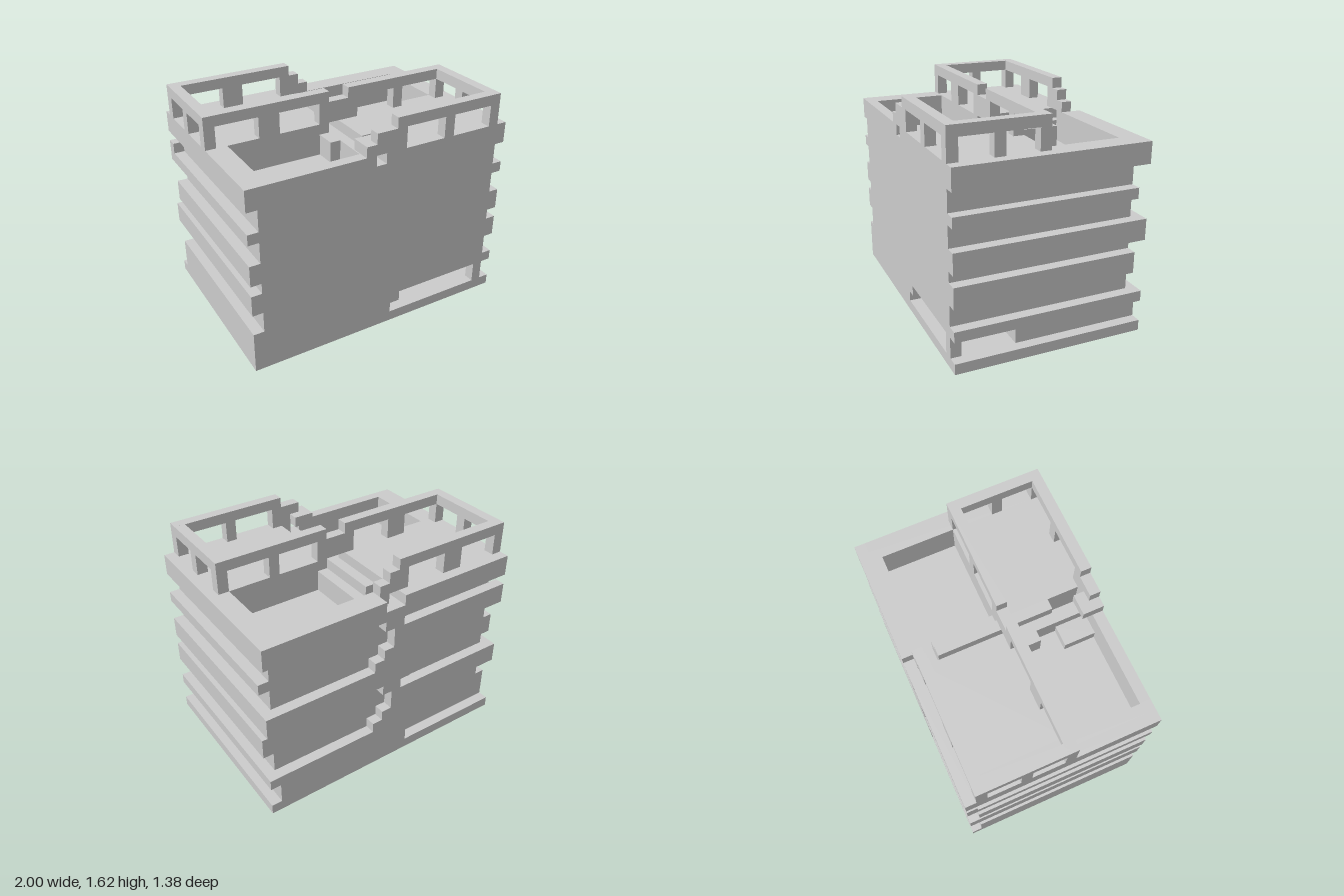
import * as THREE from 'three';

// Grid unit: the block is 26 wide, 21 high and 18 deep
const U = 2 / 26;
const material = new THREE.MeshStandardMaterial({ color: 0xcccccc, flatShading: true });

// Box given by its grid limits [x0, x1, y0, y1, z0, z1]
function box(parent, name, [x0, x1, y0, y1, z0, z1]) {
  const geo = new THREE.BoxGeometry((x1 - x0) * U, (y1 - y0) * U, (z1 - z0) * U);
  const mesh = new THREE.Mesh(geo, material);
  mesh.position.set(((x0 + x1) / 2 - 13) * U, ((y0 + y1) / 2) * U, ((z0 + z1) / 2 - 9) * U);
  mesh.name = name;
  parent.add(mesh);
}

function part(parent, name, boxes) {
  const group = new THREE.Group();
  group.name = name;
  boxes.forEach((b) => box(group, name + 'Block', b));
  parent.add(group);
}

// Window wall along x: top rail on posts
function wallX(parent, name, x0, x1, z, posts) {
  part(parent, name, [
    [x0, x1, 20, 21, z, z + 1],
    ...posts.map(([a, b]) => [a, b, 18, 20, z, z + 1]),
  ]);
}

// Window wall along z: top rail on a middle post
function wallZ(parent, name, x, z0, z1, post) {
  part(parent, name, [
    [x, x + 1, 20, 21, z0, z1],
    [x, x + 1, 18, 20, post, post + 1],
  ]);
}

export function createModel() {
  const model = new THREE.Group();
  model.name = 'bandedBuilding';

  // Solid core, with a low room open at the front and side
  part(model, 'core', [
    [0, 26, 0, 1, 0, 18],
    [1, 25, 1, 3, 1, 12],
    [1, 14, 1, 3, 12, 18],
    [14, 15, 2, 3, 12, 18],
    [24, 25, 1, 3, 17, 18],
    [1, 25, 3, 15, 1, 18],
  ]);

  // Projecting bands on the two sides
  const bands = [[3, 4], [6, 8], [9, 11], [13, 14], [16, 18]];
  part(model, 'leftBands', bands.map(([a, b]) => [25, 26, a, b, 1, 18]));
  part(model, 'rightBands', bands.map(([a, b]) => [0, 1, a === 3 ? 1 : a, b, 1, 18]));

  // Back face: bands on each half, meeting in a stepped central pier
  part(model, 'backLeftBands', [
    [14, 25, 1, 3, 0, 1],
    [14, 26, 3, 4, 0, 1],
    [14, 26, 9, 11, 0, 1],
    [14, 26, 16, 18, 0, 1],
  ]);
  part(model, 'backRightBands', [
    [0, 11, 6, 8, 0, 1],
    [0, 11, 13, 15, 0, 1],
    [0, 12, 16, 18, 0, 1],
  ]);
  const pier = [[11, 14, 1, 4, 0, 1]];
  for (const y of [4, 11]) {
    pier.push(
      [11, 15, y, y + 1, 0, 1],
      [11, 14, y + 1, y + 2, 0, 1],
      [11, 13, y + 2, y + 4, 0, 1],
      [12, 14, y + 4, y + 5, 0, 1],
    );
  }
  pier.push([11, 14, 9, 11, 0, 1], [12, 14, 16, 17, 0, 1]);
  part(model, 'backPier', pier);

  // Roof rim around the two sunken courts; a narrow channel runs through it
  part(model, 'roofRim', [
    [1, 2, 15, 18, 1, 18],
    [24, 25, 15, 18, 1, 18],
    [2, 12, 15, 18, 17, 18],
    [13, 24, 15, 18, 17, 18],
    [2, 12, 15, 18, 1, 2],
    [13, 24, 15, 18, 1, 2],
    [12, 13, 15, 17, 1, 18],
  ]);
  part(model, 'upperFloors', [
    [2, 12, 15, 18, 2, 10],
    [14, 24, 15, 18, 9, 17],
    [13, 14, 15, 18, 3, 14],
    [14, 15, 15, 17, 3, 9],
    [11, 12, 15, 17, 10, 12],
    [10, 12, 15, 16, 14, 17],
  ]);

  // Rear right storey, open to the sky
  const rightPosts = [[0, 1], [5, 7], [11, 12]];
  wallX(model, 'rearWindowWall', 0, 12, 1, rightPosts);
  wallX(model, 'middleRightWindowWall', 0, 12, 9, rightPosts);
  wallZ(model, 'rightWindowWall', 0, 1, 10, 5);

  // Front left storey, open to the sky
  const leftPosts = [[14, 15], [19, 20], [24, 25]];
  wallX(model, 'frontWindowWall', 14, 25, 17, leftPosts);
  wallX(model, 'middleLeftWindowWall', 14, 25, 9, leftPosts);
  wallZ(model, 'leftWindowWall', 24, 9, 18, 13);

  // Stepped wall ends beside the channel
  part(model, 'steppedWallEnds', [
    [12, 14, 18, 20, 17, 18],
    [11, 12, 18, 19, 17, 18],
    [12, 13, 18, 20, 1, 2],
    [13, 14, 18, 19, 1, 2],
    [12, 14, 18, 20, 9, 10],
    [11, 13, 18, 19, 16, 17],
  ]);
  return model;
}
